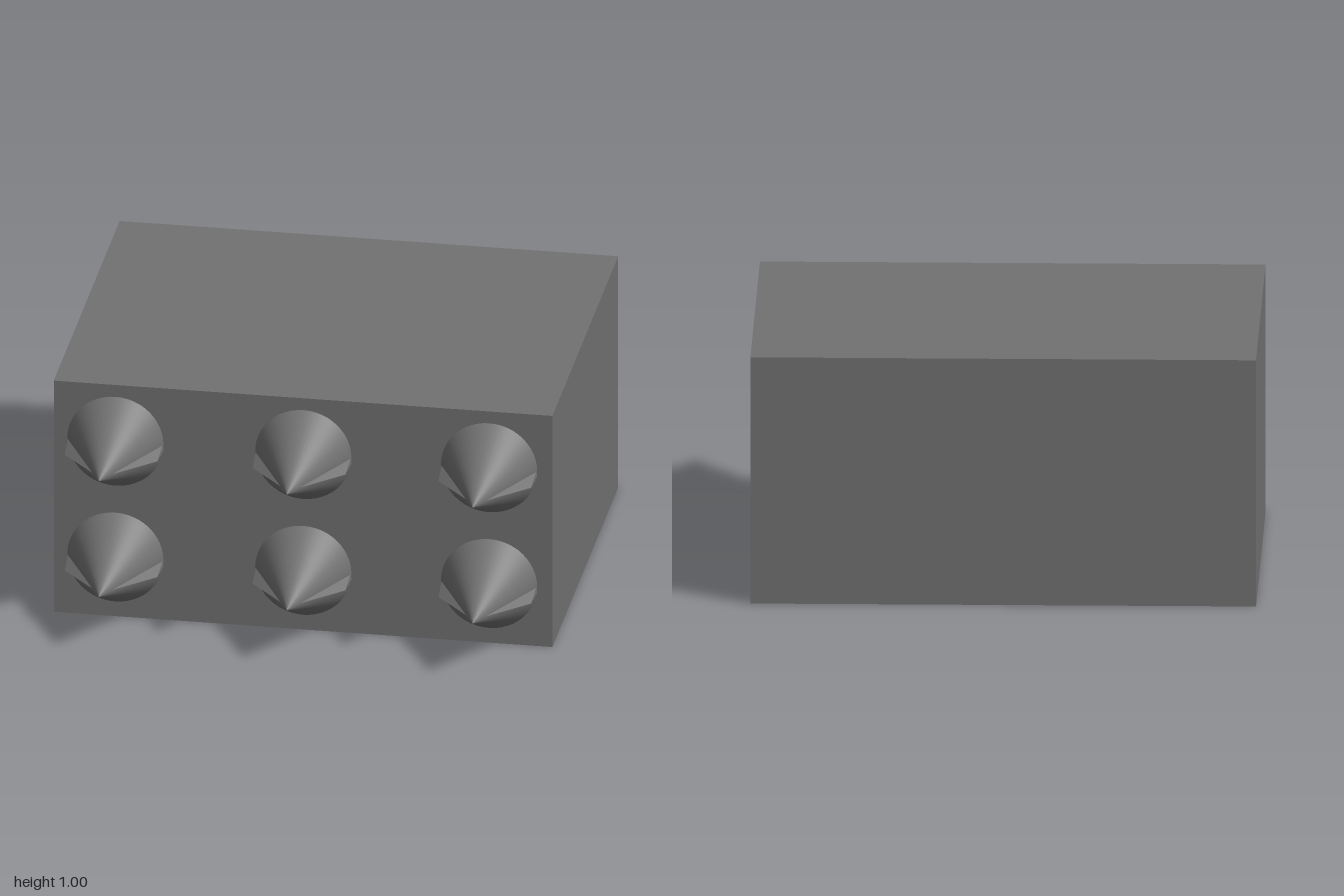
import * as THREE from 'three';
import { ConvexGeometry } from 'three/addons/geometries/ConvexGeometry.js';

const BASE_Z = 0.58, TIP_Z = 0.968, RADIUS = 0.193;
const GREY = 0x717171;

export function createModel() {
  const model = new THREE.Group();
  const smooth = new THREE.MeshStandardMaterial({ color: GREY });
  const flat = new THREE.MeshStandardMaterial({ color: GREY, flatShading: true });

  // Solid block
  const block = new THREE.Mesh(new THREE.BoxGeometry(2, 1.004, 1.546), flat);
  block.name = 'block';
  block.position.set(0, 0.502, -0.198);
  model.add(block);

  // Cone pointing to the front, its base just off the block face
  const length = TIP_Z - BASE_Z;
  const coneGeometry = new THREE.ConeGeometry(RADIUS, length, 48)
    .rotateX(Math.PI / 2)
    .translate(0, 0, length / 2);

  // Small wedge standing out from the side of a cone, just below its middle
  const finGeometry = side => new ConvexGeometry([
    [0.04, -0.002, 0.308],
    [0.19, 0, 0],
    [0.176, -0.07, 0],
    [0.193, -0.025, 0],
    [0.186, -0.028, 0.1],
  ].map(([x, y, z]) => new THREE.Vector3(side * x, y, z)));
  const fins = [['leftFin', finGeometry(1)], ['rightFin', finGeometry(-1)]];

  // Two rows of three spikes
  for (const y of [0.259, 0.762]) {
    for (const x of [-0.752, 0.002, 0.747]) {
      const spike = new THREE.Group();
      spike.name = 'spike';
      const cone = new THREE.Mesh(coneGeometry, smooth);
      cone.name = 'cone';
      spike.add(cone);
      for (const [name, geometry] of fins) {
        const fin = new THREE.Mesh(geometry, flat);
        fin.name = name;
        spike.add(fin);
      }
      spike.position.set(x, y, BASE_Z);
      model.add(spike);
    }
  }
  return model;
}
